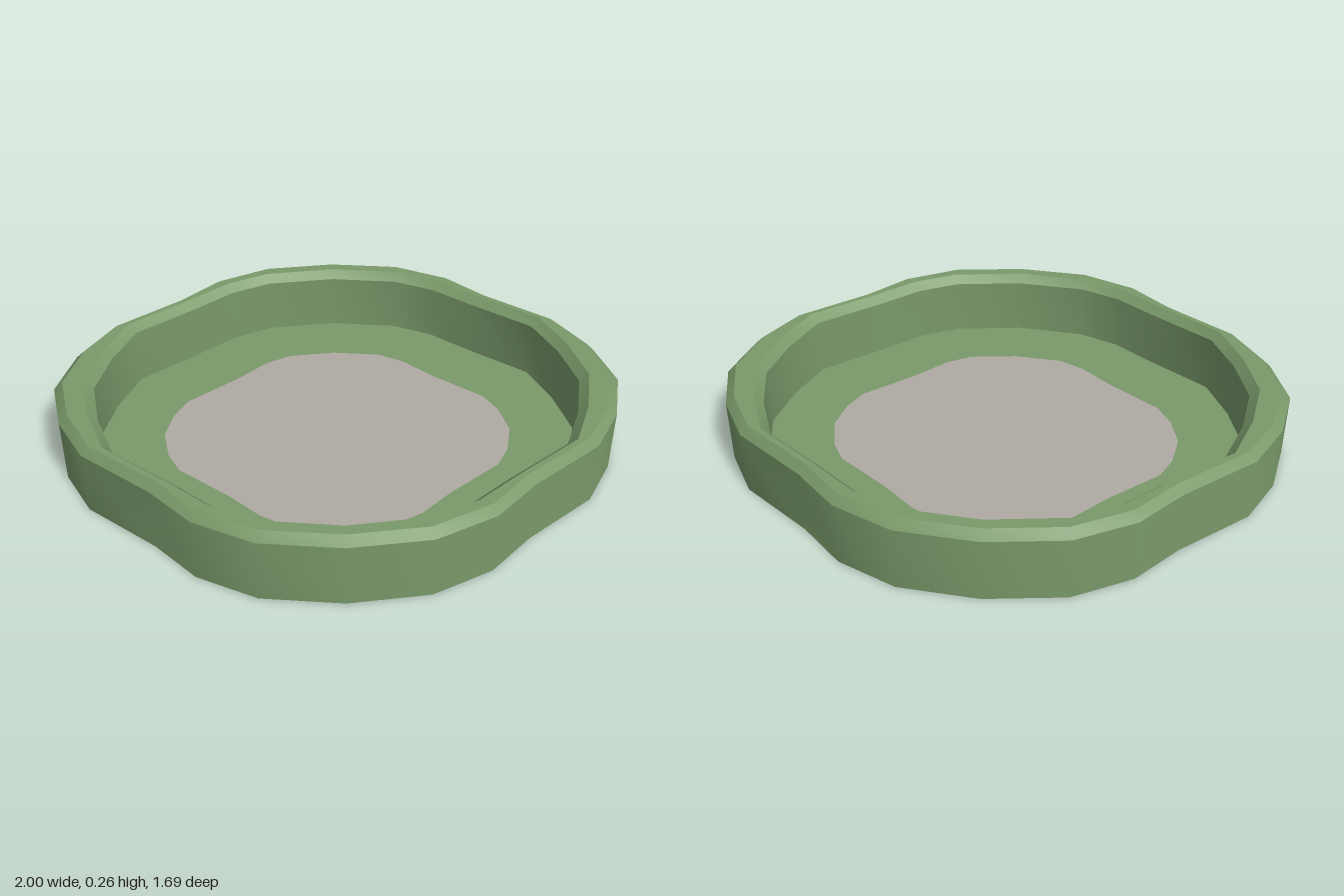
import * as THREE from 'three';
import { toCreasedNormals } from 'three/addons/utils/BufferGeometryUtils.js';

// Quarter outlines [x, z], from the +x tip round to the +z tip
const OUTER = [[1, 0], [0.95, 0.205], [0.85, 0.38], [0.61, 0.57], [0.47, 0.715], [0.27, 0.815], [0, 0.845]];
const INNER = [[0.86, 0], [0.82, 0.19], [0.75, 0.365], [0.535, 0.535], [0.4, 0.65], [0.255, 0.72], [0, 0.75]];
const PATCH = [[0.63, 0], [0.605, 0.12], [0.56, 0.205], [0.38, 0.35], [0.27, 0.455], [0.18, 0.505], [0, 0.525]];
const FLOOR = 0.02, SHOULDER = 0.23, TOP = 0.26;

// Mirrors a quarter outline into a full closed loop
function loop(quarter) {
  const back = quarter.slice(0, -1).reverse();
  const half = [...quarter, ...back.map(([x, z]) => [-x, z])];
  const rest = half.slice(1, -1).reverse().map(([x, z]) => [x, -z]);
  return [...half, ...rest];
}

// Skins a closed tube between successive rings {points, scale, y}
function skin(rings) {
  const n = rings[0].points.length, pos = [], idx = [];
  for (const { points, scale, y } of rings)
    for (const [x, z] of points) pos.push(x * scale, y, z * scale);
  for (let r = 0; r < rings.length; r++) {
    const s = (r + 1) % rings.length;
    for (let i = 0; i < n; i++) {
      const j = (i + 1) % n;
      const a = r * n + i, b = r * n + j, c = s * n + j, d = s * n + i;
      idx.push(a, c, b, a, d, c);
    }
  }
  const g = new THREE.BufferGeometry();
  g.setAttribute('position', new THREE.Float32BufferAttribute(pos, 3));
  g.setIndex(idx);
  return toCreasedNormals(g, 0.62);
}

// Flat slab from y = 0 to the floor height, optionally with a hole
function slab(points, hole) {
  const vecs = (p) => p.map(([x, z]) => new THREE.Vector2(x, -z));
  const shape = new THREE.Shape(vecs(points));
  if (hole) shape.holes.push(new THREE.Path(vecs(hole)));
  const g = new THREE.ExtrudeGeometry(shape, { depth: FLOOR, bevelEnabled: false });
  return g.rotateX(-Math.PI / 2);
}

export function createModel() {
  const group = new THREE.Group();
  const green = new THREE.MeshStandardMaterial({ color: 0x7a9a6a });
  const grey = new THREE.MeshStandardMaterial({ color: 0xb0aaa4 });
  const outer = loop(OUTER), inner = loop(INNER), patch = loop(PATCH);

  const add = (name, geometry, material) => {
    const mesh = new THREE.Mesh(geometry, material);
    mesh.name = name;
    group.add(mesh);
  };

  // Wavy wall with a chamfer on both top edges
  add('wall', skin([
    { points: outer, scale: 1, y: 0 },
    { points: outer, scale: 1, y: SHOULDER },
    { points: outer, scale: 0.968, y: TOP },
    { points: inner, scale: 1.037, y: TOP },
    { points: inner, scale: 1, y: SHOULDER },
    { points: inner, scale: 1, y: 0 },
  ]), green);

  // Floor with the centre patch set flush into it
  add('floor', slab(inner, patch), green);
  add('centrePatch', slab(patch), grey);
  return group;
}
